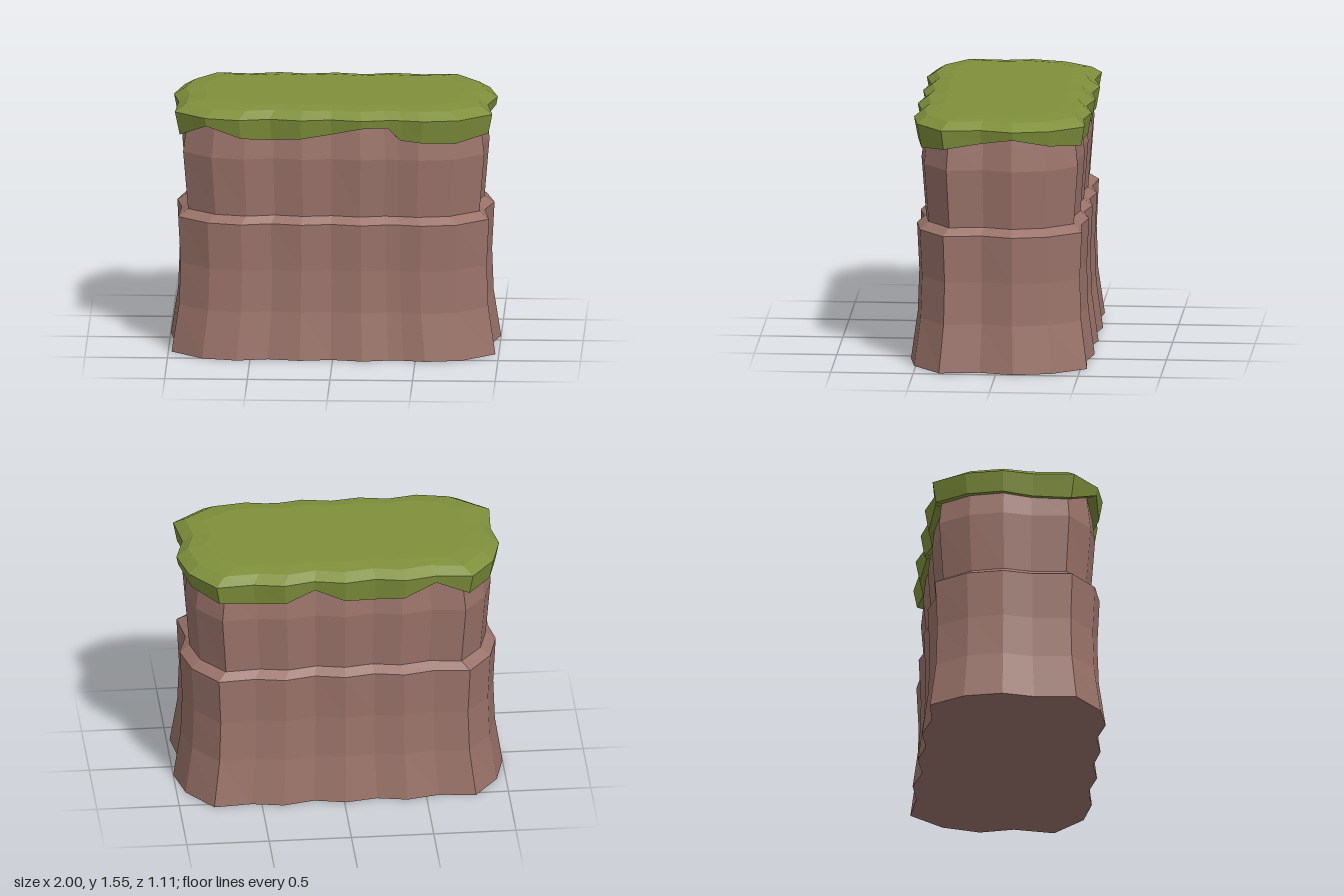
import * as THREE from 'three';

// Wavy plan outline: x, z, and the height of the grass hem at that point
const OUTLINE = [
  // back, from -x to +x
  [-0.80, -0.53, 1.37], [-0.58, -0.505, 1.445], [-0.385, -0.55, 1.36], [-0.20, -0.515, 1.345],
  [-0.01, -0.55, 1.36], [0.18, -0.51, 1.43], [0.37, -0.555, 1.36], [0.56, -0.52, 1.35], [0.79, -0.54, 1.375],
  // +x end
  [0.945, -0.335, 1.40], [1.0, -0.105, 1.445], [0.945, 0.10, 1.41], [0.98, 0.345, 1.375],
  // front, from +x to -x
  [0.78, 0.51, 1.345], [0.56, 0.545, 1.355], [0.43, 0.52, 1.365], [0.34, 0.517, 1.445], [0.18, 0.55, 1.445],
  [-0.01, 0.515, 1.40], [-0.20, 0.545, 1.375], [-0.39, 0.51, 1.36], [-0.58, 0.55, 1.375], [-0.79, 0.505, 1.445],
  // -x end
  [-0.98, 0.345, 1.35], [-0.965, 0.09, 1.36], [-1.0, -0.105, 1.37], [-0.945, -0.335, 1.37],
];

// One cross-section: the outline drawn inwards by an inset; both may vary with the hem
function ring(inset, height) {
  return OUTLINE.map(([x, z, hem]) => {
    const d = typeof inset === 'function' ? inset(hem) : inset;
    const y = typeof height === 'function' ? height(hem) : height;
    return new THREE.Vector3(x * (1 - d), y, z * (1 - d * 1.6));
  });
}

// Skin stacked cross-sections with flat facets, with optional end caps
function loft(rings, capBottom, capTop) {
  const pts = [];
  const n = OUTLINE.length;
  const tri = (...corners) => corners.forEach((p) => pts.push(p.x, p.y, p.z));
  for (let r = 0; r < rings.length - 1; r++) {
    for (let i = 0; i < n; i++) {
      const j = (i + 1) % n;
      const [a, b, c, d] = [rings[r][i], rings[r][j], rings[r + 1][j], rings[r + 1][i]];
      tri(a, d, c);
      tri(a, c, b);
    }
  }
  const first = rings[0];
  const last = rings[rings.length - 1];
  for (let i = 0; i < n; i++) {
    const j = (i + 1) % n;
    if (capBottom) tri(new THREE.Vector3(0, first[0].y, 0), first[i], first[j]);
    if (capTop) tri(new THREE.Vector3(0, last[0].y, 0), last[j], last[i]);
  }
  const geometry = new THREE.BufferGeometry();
  geometry.setAttribute('position', new THREE.Float32BufferAttribute(pts, 3));
  geometry.computeVertexNormals();
  return geometry;
}

export function createModel() {
  const group = new THREE.Group();
  group.name = 'grassyCliff';

  const rock = new THREE.MeshStandardMaterial({ color: 0x9a736a });
  rock.name = 'rock brown';
  const grass = new THREE.MeshStandardMaterial({ color: 0x7f8f3b });
  grass.name = 'grass green';

  // Rock column with a flared foot and a stepped ledge
  const body = new THREE.Mesh(loft([
    ring(0, 0), ring(0.045, 0.29), ring(0.055, 0.55), ring(0.04, 0.838),
    ring(0.10, 0.88), ring(0.07, 1.24), ring(0.09, 1.4), ring(0.10, 1.47),
  ], true, false), rock);
  body.name = 'rockBody';
  group.add(body);

  // Turf: underside, uneven hanging hem, rim, bevels and flat top
  const turf = new THREE.Mesh(loft([
    ring(0.11, (hem) => hem + 0.01),
    ring((hem) => 0.02 + (1.495 - hem) * 0.2, (hem) => hem),
    ring(0.02, 1.495), ring(0.09, 1.54), ring(0.2, 1.555),
  ], false, true), grass);
  turf.name = 'grassCap';
  group.add(turf);

  return group;
}
